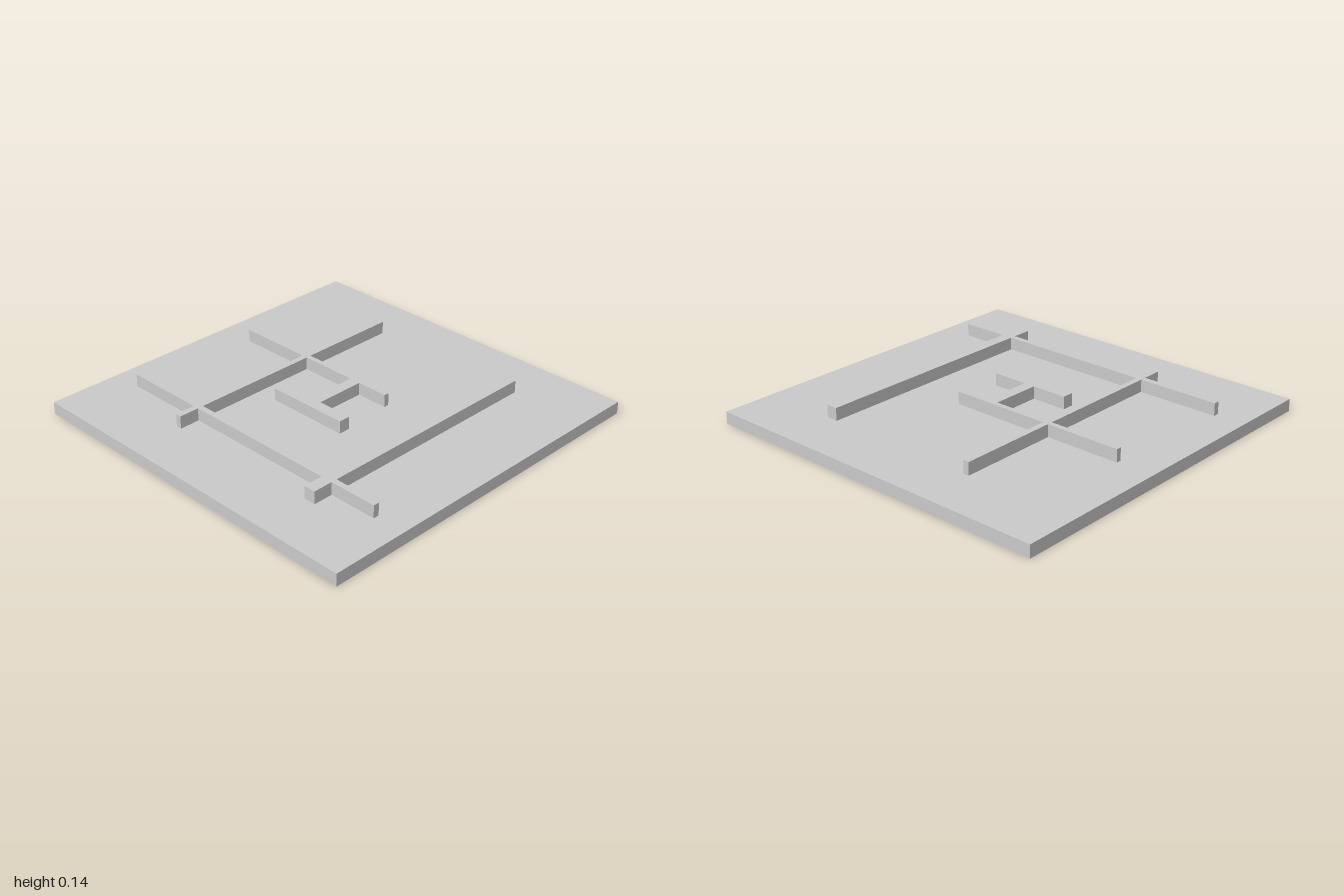
import * as THREE from 'three';

const PLATE_TOP = 0.067;
const WALL_TOP = 0.135;

export function createModel() {
  const group = new THREE.Group();
  const material = new THREE.MeshStandardMaterial({ color: 0xcccccc, flatShading: true });

  // Box spanning the given limits
  function addBlock(name, x0, x1, y0, y1, z0, z1) {
    const mesh = new THREE.Mesh(new THREE.BoxGeometry(x1 - x0, y1 - y0, z1 - z0), material);
    mesh.position.set((x0 + x1) / 2, (y0 + y1) / 2, (z0 + z1) / 2);
    mesh.name = name;
    group.add(mesh);
  }

  // Square base plate
  addBlock('basePlate', -1, 1, 0, PLATE_TOP, -1, 1);

  // Low walls standing on the plate: name, x range, z range
  const walls = [
    ['longSideWall', -0.602, -0.57, -0.833, 0.833],
    ['shortSideWall', 0.135, 0.163, -0.797, 0.205],
    ['backCrossWall', -0.713, 0.713, -0.383, -0.351],
    ['frontCrossWall', -0.709, 0.709, 0.508, 0.572],
    ['innerWall', -0.202, -0.138, -0.23, 0.227],
    ['connectingWall', -0.138, 0.135, -0.032, 0.03],
  ];
  for (const [name, x0, x1, z0, z1] of walls) {
    addBlock(name, x0, x1, PLATE_TOP, WALL_TOP, z0, z1);
  }

  return group;
}
